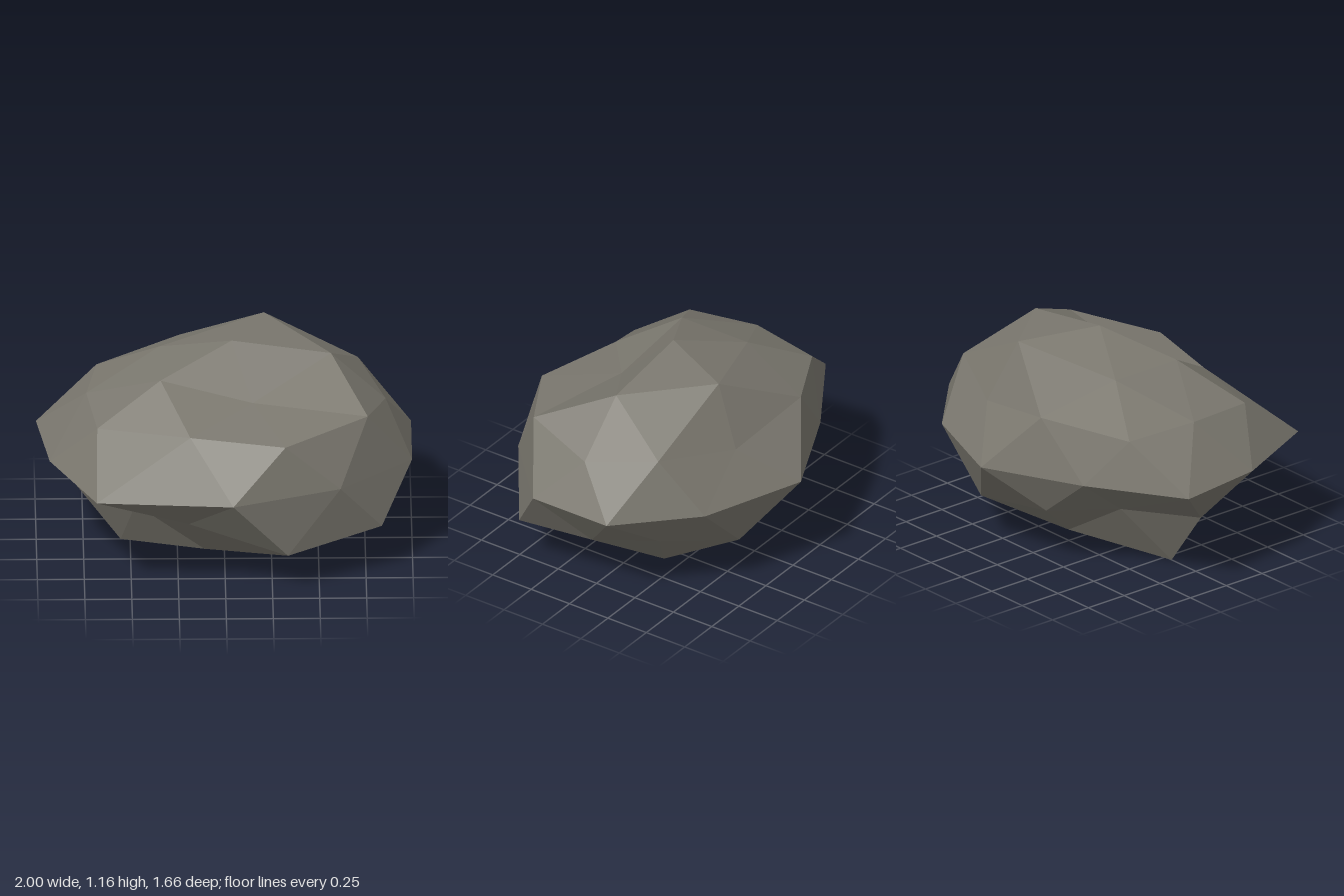
import * as THREE from 'three';

// Proportions of the boulder and the centre its radii are measured from
const STRETCH = new THREE.Vector3(1.3, 0.78, 1);
const CENTRE = new THREE.Vector3(0.04, 0.57, 0);

// Each ring: start angle, angle step (degrees), and one radius per corner
const RINGS = {
  crown: { start: 0, step: 72, radii: [0.775, 0.52, 0.69, 0.69, 0.84] },
  upper: { start: 0, step: 36, radii: [0.705, 0.805, 0.776, 0.66, 0.765, 0.7, 0.76, 0.79, 0.68, 0.757] },
  middle: { start: 18, step: 36, radii: [0.775, 0.75, 0.828, 0.95, 0.785, 0.84, 0.71, 0.83, 0.757, 0.775] },
  lower: { start: 0, step: 36, radii: [0.68, 0.845, 0.855, 0.65, 0.575, 0.715, 0.56, 0.685, 0.755, 0.66] },
  base: { start: 36, step: 72, radii: [0.78, 0.705, 0.865, 0.68, 0.74] },
};

function corner(degrees, height, radius) {
  const a = THREE.MathUtils.degToRad(degrees);
  const flat = Math.sqrt(1 - height * height);
  return new THREE.Vector3(flat * Math.cos(a), height, flat * Math.sin(a))
    .multiplyScalar(radius).multiply(STRETCH);
}

// Heights on a unit sphere alternate where a ring has two kinds of corner
function makeRing({ start, step, radii }, evenHeight, oddHeight = evenHeight) {
  return radii.map((r, i) => corner(start + i * step, i % 2 ? oddHeight : evenHeight, r));
}

function boulderGeometry() {
  const top = corner(0, 1, 0.757);
  const bottom = corner(0, -1, 0.72);
  const crown = makeRing(RINGS.crown, 0.851);
  const upper = makeRing(RINGS.upper, 0.447, 0.526);
  const middle = makeRing(RINGS.middle, 0);
  const lower = makeRing(RINGS.lower, -0.526, -0.447);
  const base = makeRing(RINGS.base, -0.851);
  const points = [];

  // Adds a facet, turned so that it faces away from the centre
  const facet = (a, b, c) => {
    const normal = b.clone().sub(a).cross(c.clone().sub(a));
    points.push(...(normal.dot(a) > 0 ? [a, b, c] : [a, c, b]));
  };

  // Pole cap joined to a ring of ten
  const cap = (pole, five, ten, shift) => {
    for (let k = 0; k < 5; k++) {
      const next = five[(k + 1) % 5];
      const [p, q, r] = [0, 1, 2].map((n) => ten[(2 * k + n + shift) % 10]);
      facet(pole, five[k], next);
      facet(five[k], p, q);
      facet(five[k], q, next);
      facet(next, q, r);
    }
  };
  cap(top, crown, upper, 0);
  cap(bottom, base, lower, 1);

  // Zigzag bands above and below the middle
  for (const ring of [upper, lower]) {
    for (let i = 0; i < 10; i++) {
      facet(ring[i], middle[i], ring[(i + 1) % 10]);
      facet(middle[(i + 9) % 10], middle[i], ring[i]);
    }
  }

  const geometry = new THREE.BufferGeometry().setFromPoints(points);
  geometry.translate(CENTRE.x, CENTRE.y, CENTRE.z);
  geometry.computeVertexNormals();
  return geometry;
}

export function createModel() {
  const stone = new THREE.MeshStandardMaterial({ color: 0x7b786f, flatShading: true });
  stone.name = 'stone';

  const boulder = new THREE.Mesh(boulderGeometry(), stone);
  boulder.name = 'boulder';

  const group = new THREE.Group();
  group.name = 'rock';
  group.add(boulder);
  return group;
}
